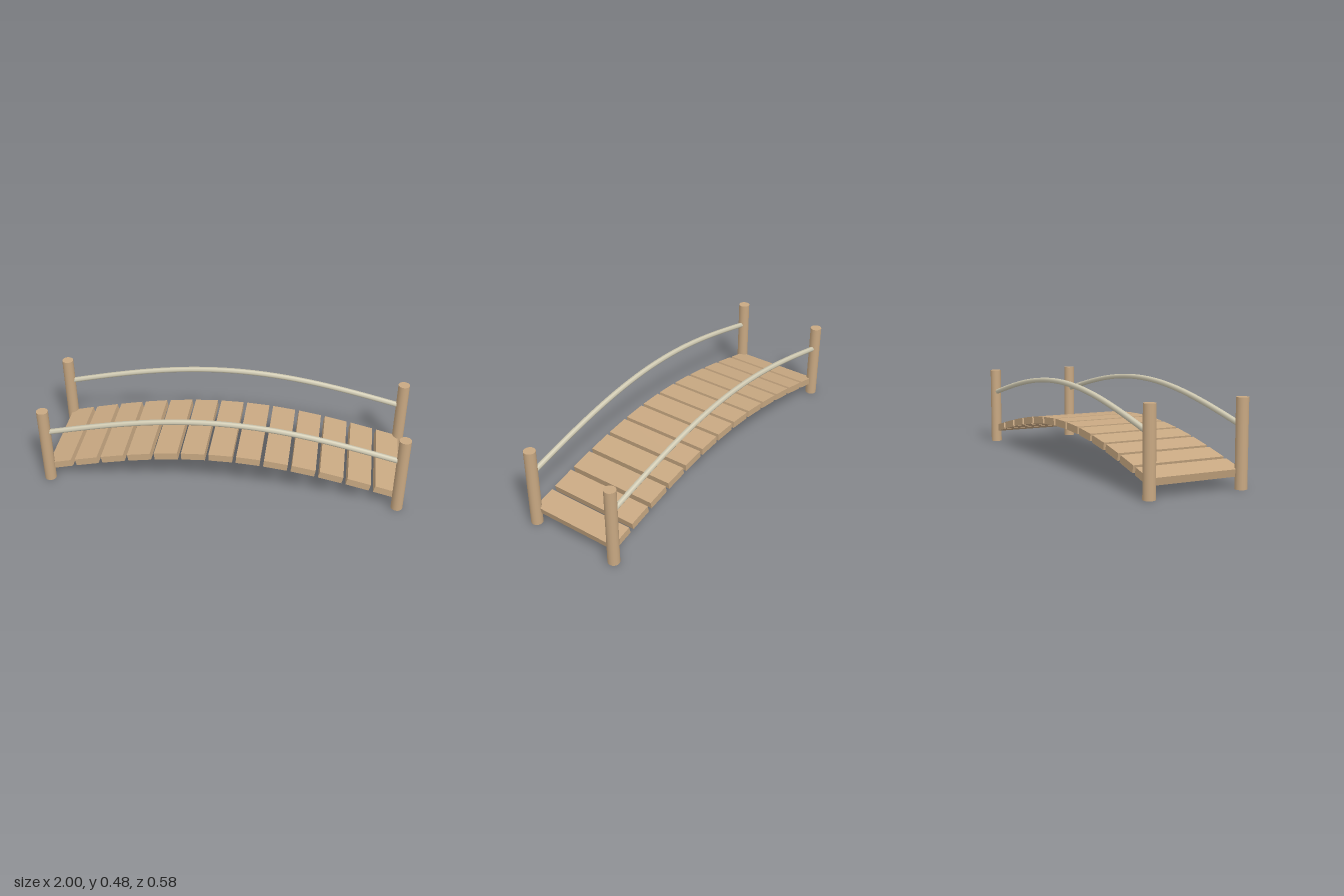
import * as THREE from 'three';

const SPAN = 0.968; // half distance between posts along x
const SIDE = 0.259; // half distance between posts along z
const RISE = 0.152;

// Height and slope of the arch shared by deck and handrails
const K = Math.PI / 2 / SPAN;
const archY = (x, base) => base + RISE * Math.cos(K * x);
const archAngle = (x) => Math.atan(-RISE * K * Math.sin(K * x));

export function createModel() {
  const bridge = new THREE.Group();
  bridge.name = 'footbridge';

  const wood = new THREE.MeshStandardMaterial({ color: 0xc8a882 });
  wood.name = 'wood';
  const rope = new THREE.MeshStandardMaterial({ color: 0xd4ceb6 });
  rope.name = 'pale rail';

  const add = (name, geometry, material, parent = bridge) => {
    const mesh = new THREE.Mesh(geometry, material);
    mesh.name = name;
    parent.add(mesh);
    return mesh;
  };

  // Deck: thirteen boards tilted along the arch
  const deck = new THREE.Group();
  deck.name = 'deck';
  bridge.add(deck);
  const plankGeometry = new THREE.BoxGeometry(0.13, 0.04, SIDE * 2);
  for (let i = -6; i <= 6; i++) {
    const x = i * 0.15;
    const plank = add('plank', plankGeometry, wood, deck);
    plank.position.set(x, archY(x, 0.08), 0);
    plank.rotation.z = archAngle(x);
  }

  // Arched handrails, ending inside the posts
  const points = [];
  for (let i = 0; i <= 16; i++) {
    const x = SPAN * (i / 8 - 1);
    points.push(new THREE.Vector3(x, archY(x, 0.312), 0));
  }
  const railGeometry = new THREE.TubeGeometry(new THREE.CatmullRomCurve3(points), 32, 0.015, 6);

  // Corner posts
  const postGeometry = new THREE.CylinderGeometry(0.032, 0.032, 0.453, 16);
  postGeometry.translate(0, 0.453 / 2, 0);

  for (const side of [-1, 1]) {
    add('handrail', railGeometry, rope).position.z = side * SIDE;
    for (const end of [-1, 1]) {
      add('post', postGeometry, wood).position.set(end * SPAN, 0, side * SIDE);
    }
  }
  return bridge;
}
